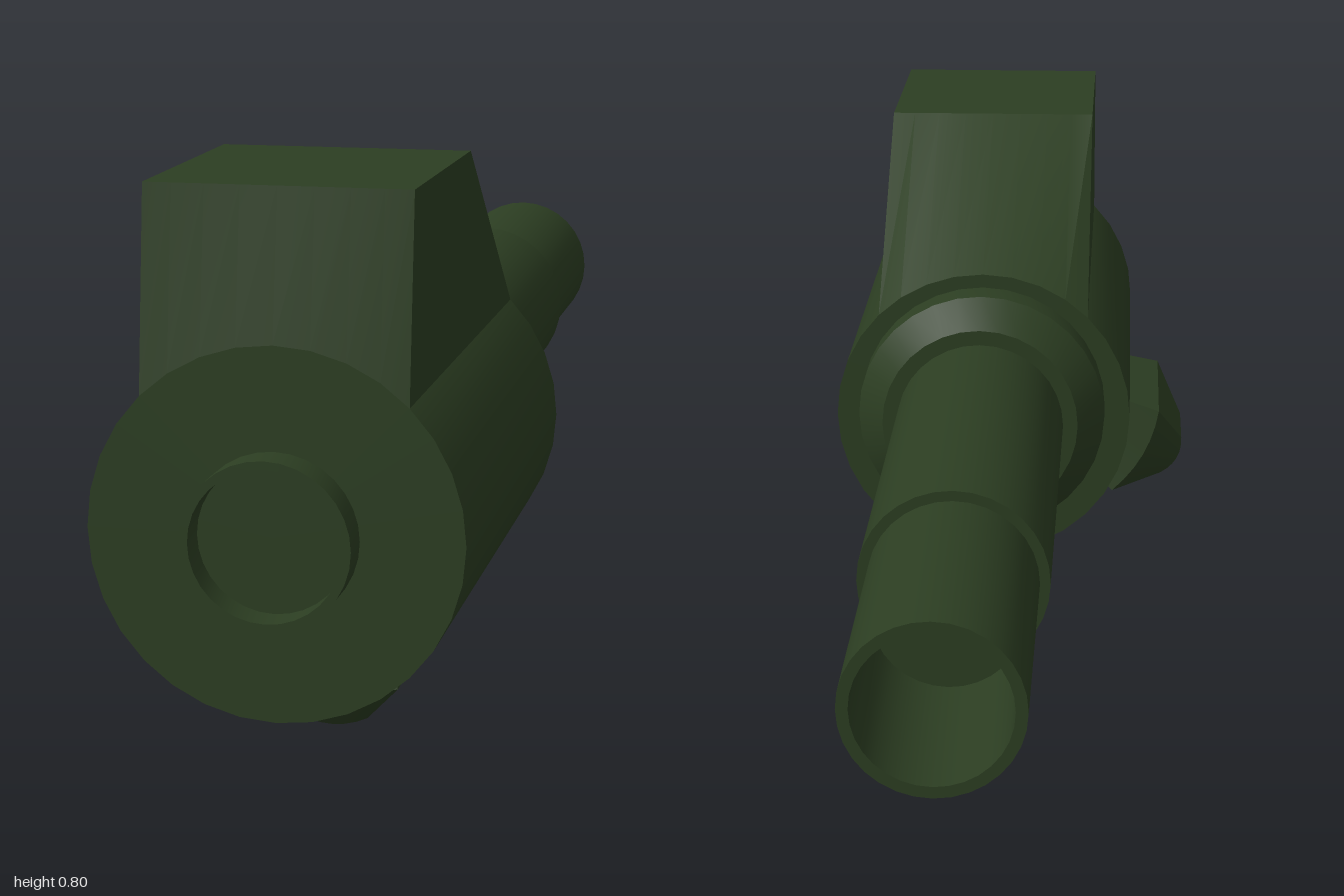
import * as THREE from 'three';
import { toCreasedNormals } from 'three/addons/utils/BufferGeometryUtils.js';

const AXIS_X = 0.05, DRUM_Y = 0.355, BARREL_Y = 0.375, DRUM_R = 0.245;
const paint = new THREE.MeshStandardMaterial({ color: 0x2c3e22 });
const paintBoth = new THREE.MeshStandardMaterial({ color: 0x2c3e22, side: THREE.DoubleSide });

// Turned part along z; profile is a list of [radius, z] with z rising
function turned(name, profile, y) {
  const points = profile.map(([r, z]) => new THREE.Vector2(r, z));
  const geo = new THREE.LatheGeometry(points, 32);
  geo.rotateX(Math.PI / 2);
  const mesh = new THREE.Mesh(toCreasedNormals(geo, 0.5), paintBoth);
  mesh.name = name;
  mesh.position.set(AXIS_X, y, 0);
  return mesh;
}

// Raised housing: flat on top, its front and rear blend down onto the drum's arc
function housing() {
  const N = 8, top = 0.795 - DRUM_Y, half = DRUM_R * Math.SQRT1_2;
  const sections = [[0.2, false], [0.54, true], [0.92, true], [0.95, false]];
  const pos = [], idx = [];
  for (const [z, flat] of sections) {
    pos.push(-half, half, z);
    for (let i = 0; i <= N; i++) {
      const a = Math.PI * (0.75 - 0.5 * i / N);
      pos.push(DRUM_R * Math.cos(a), flat ? top : DRUM_R * Math.sin(a), z);
    }
    pos.push(half, half, z);
  }
  const row = N + 3;
  for (let s = 0; s < sections.length - 1; s++) {
    for (let i = 0; i < row - 1; i++) {
      const a = s * row + i, b = a + 1, c = a + row, d = c + 1;
      idx.push(a, c, b, b, c, d);
    }
  }
  const geo = new THREE.BufferGeometry();
  geo.setAttribute('position', new THREE.Float32BufferAttribute(pos, 3));
  geo.setIndex(idx);
  const mesh = new THREE.Mesh(toCreasedNormals(geo, 0.5), paintBoth);
  mesh.name = 'housing';
  mesh.position.set(AXIS_X, DRUM_Y, 0);
  return mesh;
}

// Faceted boss on the drum: a box tapered to an arched cap, turned about the drum axis
function boss(name, angle, widthScale, lift) {
  // half width, half length, distance from the axis, arch
  const levels = [
    [0.05, 0.067, 0.343, 0.012],
    [0.11, 0.147, 0.27, 0.015],
    [0.085, 0.128, 0.19, 0],
  ];
  const geo = new THREE.BoxGeometry(1, 1, 1, 6, 2, 1);
  const p = geo.attributes.position;
  for (let i = 0; i < p.count; i++) {
    const [w, l, r, arch] = levels[Math.round((p.getY(i) + 0.5) * 2)];
    const u = p.getX(i) * 2;
    p.setXYZ(i, u * w * widthScale, -(r + lift + arch * (1 - u * u)), 0.572 + p.getZ(i) * 2 * l);
  }
  const mesh = new THREE.Mesh(toCreasedNormals(geo, 0.5), paint);
  mesh.name = name;
  mesh.position.set(AXIS_X, DRUM_Y, 0);
  mesh.rotation.z = angle;
  return mesh;
}

export function createModel() {
  const model = new THREE.Group();
  model.name = 'barrelAssembly';
  model.add(
    turned('drum', [[0, 0.2], [DRUM_R, 0.2], [DRUM_R, 0.95], [0, 0.95]], DRUM_Y),
    housing(),
    // Open port on the front face
    turned('frontPort', [[0.11, 0.94], [0.11, 1], [0.099, 1], [0.099, 0.955], [0, 0.955]], DRUM_Y),
    // Collar, sleeve and hollow muzzle behind the drum
    turned('collar', [[0, 0.095], [0.16, 0.095], [0.203, 0.145], [0.203, 0.21]], BARREL_Y),
    turned('sleeve', [[0.1, -0.58], [0.136, -0.58], [0.136, 0.11]], BARREL_Y),
    turned('muzzle', [[0, -0.7], [0.105, -0.7], [0.105, -1], [0.121, -1], [0.121, -0.57]], BARREL_Y),
    // Bosses under the drum and on its right side
    boss('bottomBoss', 0, 1, 0),
    boss('sideBoss', -1.075, 0.77, 0.022),
  );
  return model;
}
